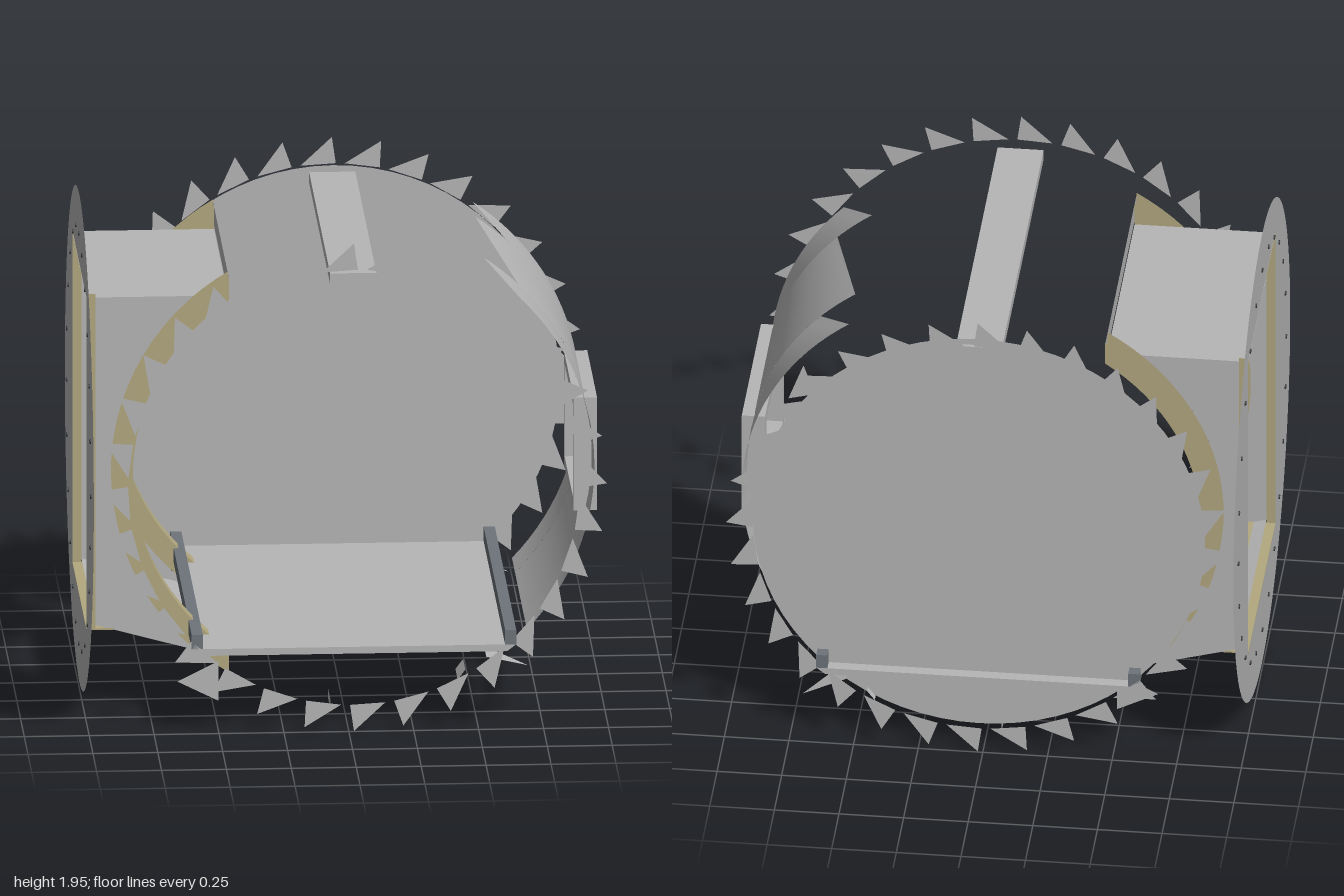
import * as THREE from 'three';

const CX = 0.02, CY = 0.98;
const mat = (name, color, side = THREE.DoubleSide) =>
  Object.assign(new THREE.MeshStandardMaterial({ color, side }), { name });

// point on the barrel, angle in degrees
const polar = (r, deg, z) => {
  const a = deg * Math.PI / 180;
  return [CX + r * Math.cos(a), CY + r * Math.sin(a), z];
};

// ruled surface between two curves
function ruled(a, b, n = 24) {
  const pos = [], idx = [];
  for (let i = 0; i <= n; i++) {
    pos.push(...a(i / n), ...b(i / n));
    if (i < n) idx.push(2 * i, 2 * i + 1, 2 * i + 2, 2 * i + 1, 2 * i + 3, 2 * i + 2);
  }
  const g = new THREE.BufferGeometry();
  g.setAttribute('position', new THREE.Float32BufferAttribute(pos, 3));
  g.setIndex(idx);
  g.computeVertexNormals();
  return g;
}

function triangles(pos) {
  const g = new THREE.BufferGeometry();
  g.setAttribute('position', new THREE.Float32BufferAttribute(pos, 3));
  g.computeVertexNormals();
  return g;
}

export function createModel() {
  const root = new THREE.Group();
  root.name = 'barrelRoom';
  const gray = mat('panelGray', 0xb6b6b6);
  const tan = mat('trimTan', 0xb3a980);
  const slate = mat('beamSlate', 0x6d747a);
  const dark = mat('boltDark', 0x303338);

  const add = (name, geo, m) => {
    const mesh = new THREE.Mesh(geo, m);
    mesh.name = name;
    root.add(mesh);
    return mesh;
  };
  const box = (name, m, x0, x1, y0, y1, z0, z1) =>
    add(name, new THREE.BoxGeometry(x1 - x0, y1 - y0, z1 - z0), m)
      .position.set((x0 + x1) / 2, (y0 + y1) / 2, (z0 + z1) / 2);
  const quad = (name, m, a, b, c, d) => add(name, triangles([...a, ...b, ...c, ...a, ...c, ...d]), m);

  // back end disc
  add('backDisc', new THREE.CircleGeometry(0.875, 72), gray).position.set(CX, CY, -0.70);

  // saw teeth around both ends
  for (const z of [-0.745, 0.745]) {
    const pos = [];
    for (let i = 0; i < 32; i++) {
      const t = 90 + i * 11.25;
      pos.push(...polar(0.975, t, z), ...polar(0.87, t + 8, z), ...polar(0.87, t - 1, z));
    }
    add(z < 0 ? 'backTeeth' : 'frontTeeth', triangles(pos), gray);
  }

  // floor slab with edge beams
  const floor = new THREE.Shape();
  floor.moveTo(-0.57, 0.315);
  floor.lineTo(0.61, 0.315);
  floor.lineTo(0.645, 0.342);
  floor.lineTo(-0.605, 0.342);
  add('floor', new THREE.ExtrudeGeometry(floor, { depth: 1.49, bevelEnabled: false }), gray).position.z = -0.745;
  box('rightFloorBeam', slate, -0.605, -0.562, 0.342, 0.40, -0.745, 0.745);
  box('leftFloorBeam', slate, 0.602, 0.645, 0.342, 0.40, -0.745, 0.745);

  // ceiling strip
  box('ceilingStrip', gray, -0.07, 0.108, 1.785, 1.828, -0.715, 0.715);

  // curved wall in three columns with a torn top edge and a window opening
  const R = 0.94, low = 45.5, peak = 56;
  const wall = (z0, z1, a0, a1, b0, b1) => add('curvedWall', ruled(
    t => polar(R, a0 + (a1 - a0) * t, z0),
    t => polar(R, b0 + (b1 - b0) * t, z1), 32), gray);
  wall(-0.50, -0.285, -43.7, peak, -43.7, low);
  wall(0.285, 0.50, -43.7, peak, -43.7, low);
  wall(-0.285, 0.285, -43.7, -11.7, -43.7, -11.7);
  wall(-0.285, 0.285, 11.7, peak, 11.7, low);

  // window frame
  const hole = (s, x0, x1, y0, y1) => {
    const p = new THREE.Path();
    p.moveTo(x0, y0);
    p.lineTo(x0, y1);
    p.lineTo(x1, y1);
    p.lineTo(x1, y0);
    p.closePath();
    s.holes.push(p);
  };
  const frame = new THREE.Shape();
  frame.moveTo(-0.33, 0.755);
  frame.lineTo(0.33, 0.755);
  frame.lineTo(0.33, 1.205);
  frame.lineTo(-0.33, 1.205);
  hole(frame, -0.285, 0.285, 0.795, 1.165);
  const frameGeo = new THREE.ExtrudeGeometry(frame, { depth: 0.09, bevelEnabled: false });
  frameGeo.rotateY(Math.PI / 2);
  add('windowFrame', frameGeo, gray).position.x = 0.89;

  // round flange with doorway and bolts
  const flange = new THREE.Shape();
  flange.absarc(0, CY, 0.975, 0, Math.PI * 2);
  hole(flange, -0.465, 0.465, 0.35, 1.68);
  const flangeGeo = new THREE.ShapeGeometry(flange, 48);
  flangeGeo.rotateY(-Math.PI / 2);
  add('doorFlange', flangeGeo, gray).position.x = -0.995;
  for (let i = 0; i < 24; i++) {
    const a = i * Math.PI / 12;
    const bolt = add('flangeBolt', new THREE.CylinderGeometry(0.009, 0.009, 0.01, 8), dark);
    bolt.rotation.z = Math.PI / 2;
    bolt.position.set(-0.995, CY + 0.82 * Math.sin(a), 0.82 * Math.cos(a));
  }

  // doorway passage: roof, sloping underside, sill and end strips
  const W = 0.465, H = 0.54;
  quad('passageRoof', gray, [-0.995, 1.675, -W], [-0.995, 1.675, W], [-0.45, 1.675, W], [-0.45, 1.675, -W]);
  quad('passageFloor', gray, [-0.96, 0.365, -W], [-0.96, 0.365, W], [-0.45, 0.23, W], [-0.45, 0.23, -W]);
  box('doorSill', tan, -0.995, -0.89, 0.345, 0.352, -W, W);
  quad('upperEndStrip', gray, [-0.45, 1.69, H], [-0.45, 1.69, -H], [-0.45, 1.765, -H], [-0.45, 1.765, H]);
  quad('lowerEndStrip', slate, [-0.45, 0.195, H], [-0.45, 0.195, -H], [-0.45, 0.315, -H], [-0.45, 0.315, H]);

  // passage sides: jamb, panel, arch
  for (const s of [-1, 1]) {
    const zi = s * W, zo = s * H;
    quad('doorJamb', tan, [-0.995, 0.345, zi], [-0.96, 0.345, zi], [-0.96, 1.69, zi], [-0.995, 1.69, zi]);
    add('passageSide', ruled(t => [-0.96, 0.365 + 1.31 * t, zi], t => {
      const y = 0.25 + 1.425 * t;
      return [CX - Math.sqrt(0.92 ** 2 - (y - CY) ** 2), y, zi];
    }), gray);
    const inner = z => t => polar(0.84, 124 + 112 * t, z);
    const outer = z => t => polar(0.92, 120.7 + 118.6 * t, z);
    add('archInnerFace', ruled(inner(zi), inner(zo), 32), tan);
    add('archSideFace', ruled(inner(zi), outer(zi), 32), tan);
    add('archSideFace', ruled(inner(zo), outer(zo), 32), tan);
  }

  // loose tabs and spikes under the floor
  for (const z of [0.58, -0.73]) {
    const e = z + 0.15;
    quad('lowerTab', gray, [-0.07, 0.09, z], [-0.07, 0.09, e], [-0.07, 0.13, e], [-0.07, 0.13, z]);
    quad('upperTab', gray, [0.42, 0.20, z], [0.42, 0.20, e], [0.45, 0.24, e], [0.45, 0.24, z]);
    add('leftSpike', triangles([0.53, 0.29, e, 0.53, 0.29, z, 0.70, 0.21, z]), gray);
    add('rightSpike', triangles([-0.50, 0.29, -z, -0.50, 0.13, -z, -0.66, 0.21, -z]), gray);
  }
  return root;
}
